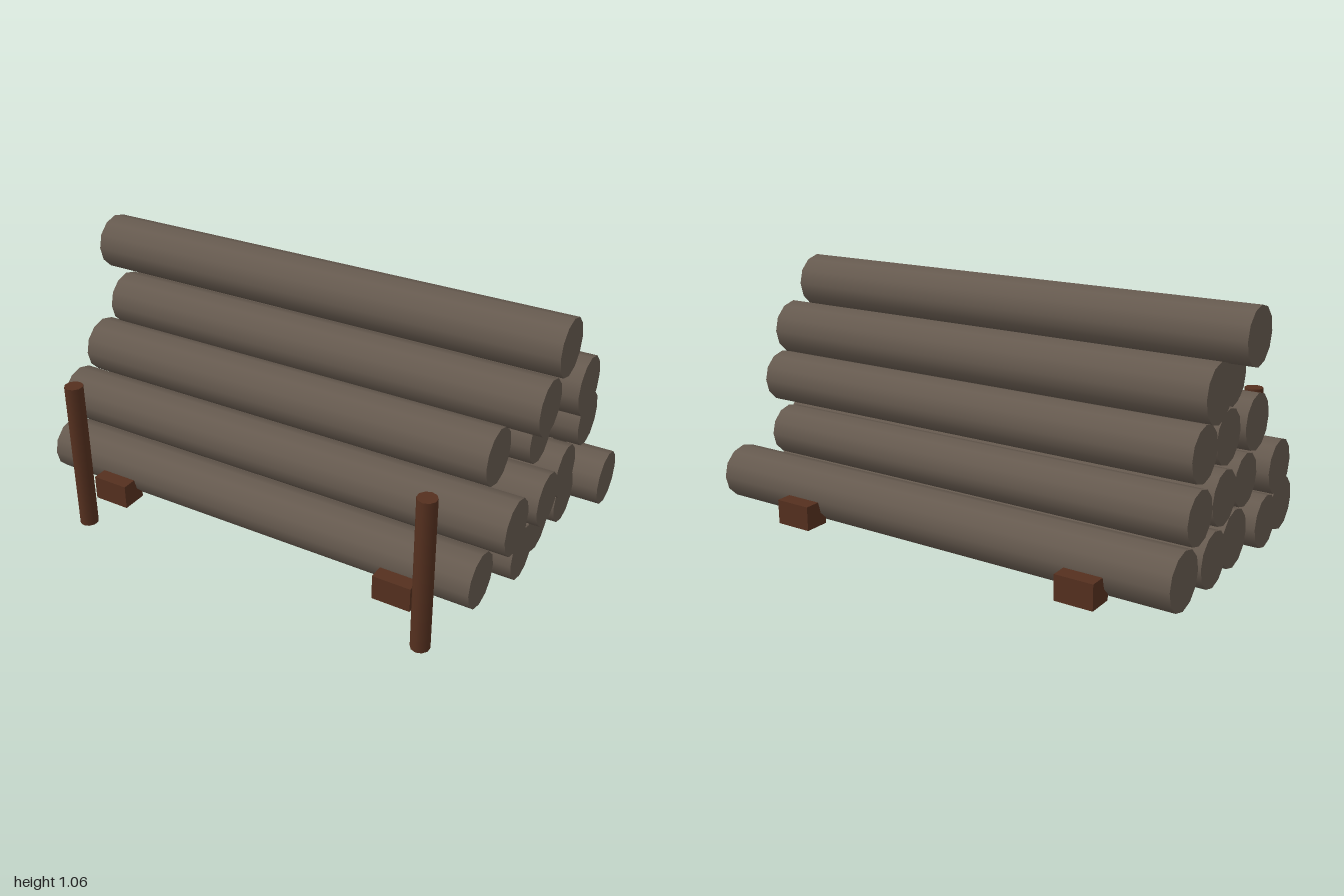
import * as THREE from 'three';

export function createModel() {
  const group = new THREE.Group();
  group.name = 'logPile';
  const bark = new THREE.MeshStandardMaterial({ color: 0x665a4f });
  bark.name = 'greyBrownLog';
  const wood = new THREE.MeshStandardMaterial({ color: 0x55301f });
  wood.name = 'redBrownWood';

  function add(name, geometry, material, x, y, z) {
    const mesh = new THREE.Mesh(geometry, material);
    mesh.name = name;
    mesh.position.set(x, y, z);
    group.add(mesh);
  }

  // Stacked logs, row by row from the bottom: [z, y, radius, right end x, left end x]
  const rows = [
    [[0.4, 0.228, 0.103, -0.963, 0.84], [0.187, 0.23, 0.1, -0.985, 0.9], [-0.016, 0.226, 0.109, -0.95, 0.88],
      [-0.228, 0.228, 0.102, -0.967, 0.9], [-0.435, 0.228, 0.106, -0.957, 0.997]],
    [[0.295, 0.408, 0.104, -0.985, 0.912], [0.087, 0.41, 0.1, -0.94, 0.94],
      [-0.119, 0.41, 0.101, -0.95, 0.93], [-0.328, 0.407, 0.097, -0.955, 0.834]],
    [[0.193, 0.594, 0.107, -0.93, 0.79], [-0.014, 0.59, 0.102, -0.91, 0.86], [-0.224, 0.587, 0.102, -0.917, 0.957]],
    [[0.088, 0.77, 0.103, -0.877, 0.918], [-0.125, 0.77, 0.109, -0.917, 0.977]],
    [[-0.016, 0.953, 0.106, -1, 0.935]],
  ];
  rows.forEach((row, r) => row.forEach(([z, y, radius, x0, x1], i) => {
    const geometry = new THREE.CylinderGeometry(radius, radius, x1 - x0, 12);
    geometry.rotateZ(-Math.PI / 2);
    add(`logRow${r + 1}Number${i + 1}`, geometry, bark, (x0 + x1) / 2, y, z);
  }));

  // Upright stakes at the front
  [-0.768, 0.702].forEach((x, i) => {
    add(i ? 'leftStake' : 'rightStake', new THREE.CylinderGeometry(0.036, 0.036, 0.612, 10), wood, x, 0.306, 0.564);
  });

  // Chocks holding the bottom row, front and back
  [-0.645, 0.58].forEach((x, i) => {
    const side = i ? 'left' : 'right';
    add(`${side}FrontChock`, new THREE.BoxGeometry(0.147, 0.095, 0.1), wood, x, 0.173, 0.508);
    add(`${side}BackChock`, new THREE.BoxGeometry(0.147, 0.095, 0.1), wood, x, 0.173, -0.55);
  });

  return group;
}
